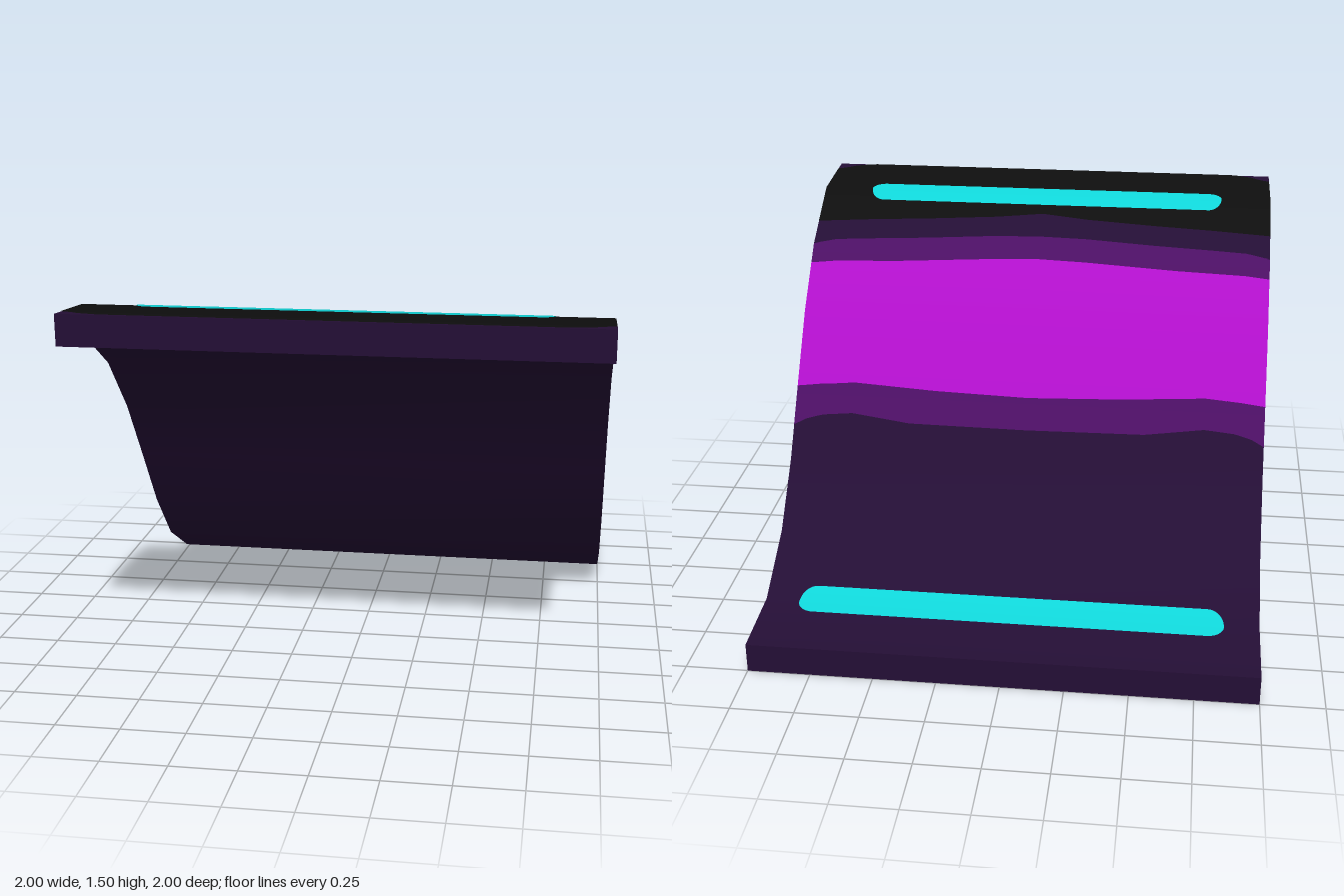
import * as THREE from 'three';
import { toCreasedNormals } from 'three/addons/utils/BufferGeometryUtils.js';

// Top edge of the curved slab as [z, y], from back to front
const PROFILE = [
  [-1, 0.122], [-0.685, 0.14], [-0.405, 0.302], [-0.195, 0.532], [0, 0.81],
  [0.185, 1.068], [0.41, 1.306], [0.685, 1.475], [1, 1.5],
];
const THICKNESS = 0.12;

const mat = (name, color) => {
  const m = new THREE.MeshStandardMaterial({ color });
  m.name = name;
  return m;
};

// Piecewise linear lookup in a list of [key, value]
function lookup(table, t) {
  let i = 1;
  while (i < table.length - 1 && t > table[i][0]) i++;
  const [a, va] = table[i - 1], [b, vb] = table[i];
  return va + (vb - va) * THREE.MathUtils.clamp((t - a) / (b - a), 0, 1);
}

// Surface slope, averaged at each profile point so shading stays smooth
const SLOPES = PROFILE.map(([z], i) => {
  const angles = [];
  for (const j of [i - 1, i]) {
    if (j < 0 || j > PROFILE.length - 2) continue;
    angles.push(Math.atan2(PROFILE[j + 1][1] - PROFILE[j][1], PROFILE[j + 1][0] - PROFILE[j][0]));
  }
  return [z, angles.reduce((s, a) => s + a, 0) / angles.length];
});

// Thin coloured skin lying on the slab between two edges z = back(x) and z = front(x)
function skin(xs, back, front, lift) {
  const pos = [], nor = [], idx = [];
  for (let k = 0; k < PROFILE.length - 1; k++) {
    const lo = PROFILE[k][0], hi = PROFILE[k + 1][0];
    if (!xs.some((x) => front(x) > lo && back(x) < hi)) continue;
    const start = pos.length / 3;
    xs.forEach((x, i) => {
      for (const edge of [back, front]) {
        const z = THREE.MathUtils.clamp(edge(x), lo, hi);
        const a = lookup(SLOPES, z);
        const ny = Math.cos(a), nz = -Math.sin(a);
        pos.push(x, lookup(PROFILE, z) + lift * ny, Math.min(1, z + lift * nz));
        nor.push(0, ny, nz);
      }
      if (i > 0) {
        const p = start + 2 * (i - 1);
        idx.push(p, p + 1, p + 3, p, p + 3, p + 2);
      }
    });
  }
  const g = new THREE.BufferGeometry();
  g.setAttribute('position', new THREE.Float32BufferAttribute(pos, 3));
  g.setAttribute('normal', new THREE.Float32BufferAttribute(nor, 3));
  g.setIndex(idx);
  return g;
}

export function createModel() {
  const group = new THREE.Group();
  const dark = mat('dark purple', 0x240e35);
  const mid = mat('mid purple', 0x4b0f63);
  const magenta = mat('magenta', 0xb00fca);
  const black = mat('black', 0x0e0e0e);
  const cyan = mat('cyan', 0x10d6d9);

  const add = (name, geometry, material) => {
    const mesh = new THREE.Mesh(geometry, material);
    mesh.name = name;
    group.add(mesh);
  };

  // Solid curved slab
  const outline = [
    ...PROFILE.map(([z, y]) => [z, y - THICKNESS]),
    ...[...PROFILE].reverse(),
  ].map(([z, y]) => new THREE.Vector2(z, y));
  const slab = new THREE.ExtrudeGeometry(new THREE.Shape(outline), { depth: 2, bevelEnabled: false });
  slab.rotateY(-Math.PI / 2).translate(1, 0, 0);
  add('slab', toCreasedNormals(slab, Math.PI / 4), dark);

  // Wavy colour bands across the slope, each edge given as [|x|, z]
  const edge = (...table) => (x) => lookup(table, Math.abs(x));
  const lowerMid = edge([0, -0.095], [0.5, -0.092], [0.75, -0.073], [0.88, -0.08], [0.95, -0.092], [1, -0.108]);
  const lowerMagenta = edge([0, -0.015], [0.4, -0.008], [0.75, 0.004], [0.9, -0.003], [1, -0.01]);
  const upperMagenta = edge([0, 0.38], [0.2, 0.375], [0.6, 0.358], [0.9, 0.35], [1, 0.342]);
  const upperMid = edge([0, 0.475], [0.2, 0.47], [0.5, 0.45], [0.75, 0.437], [0.9, 0.428], [1, 0.405]);
  const blackStart = edge([0, 0.587], [0.2, 0.565], [0.5, 0.545], [0.75, 0.532], [1, 0.515]);
  const blackEnd = edge([0, 1], [0.84, 1], [0.92, 0.975], [0.96, 0.945], [1, 0.93]);
  const xs = Array.from({ length: 81 }, (_, i) => -1 + i / 40);
  add('lowerFadeBand', skin(xs, lowerMid, lowerMagenta, 0.002), mid);
  add('magentaBand', skin(xs, lowerMagenta, upperMagenta, 0.002), magenta);
  add('upperFadeBand', skin(xs, upperMagenta, upperMid, 0.002), mid);
  add('blackBand', skin(xs, blackStart, blackEnd, 0.002), black);

  // Round-ended light strips near both ends
  const strip = (name, z, halfDepth, halfLength) => {
    const half = (x) => {
      const d = Math.max(0, Math.abs(x) - (halfLength - halfDepth));
      return Math.sqrt(Math.max(0, halfDepth * halfDepth - d * d));
    };
    const cols = [];
    for (let i = 0; i <= 12; i++) {
      cols.push(halfLength - halfDepth + halfDepth * Math.sin((i / 12) * Math.PI / 2));
    }
    const all = [...cols.map((x) => -x).reverse(), ...cols];
    add(name, skin(all, (x) => z - half(x), (x) => z + half(x), 0.005), cyan);
  };
  strip('rearLightStrip', -0.694, 0.068, 0.86);
  strip('frontLightStrip', 0.687, 0.058, 0.785);

  return group;
}
